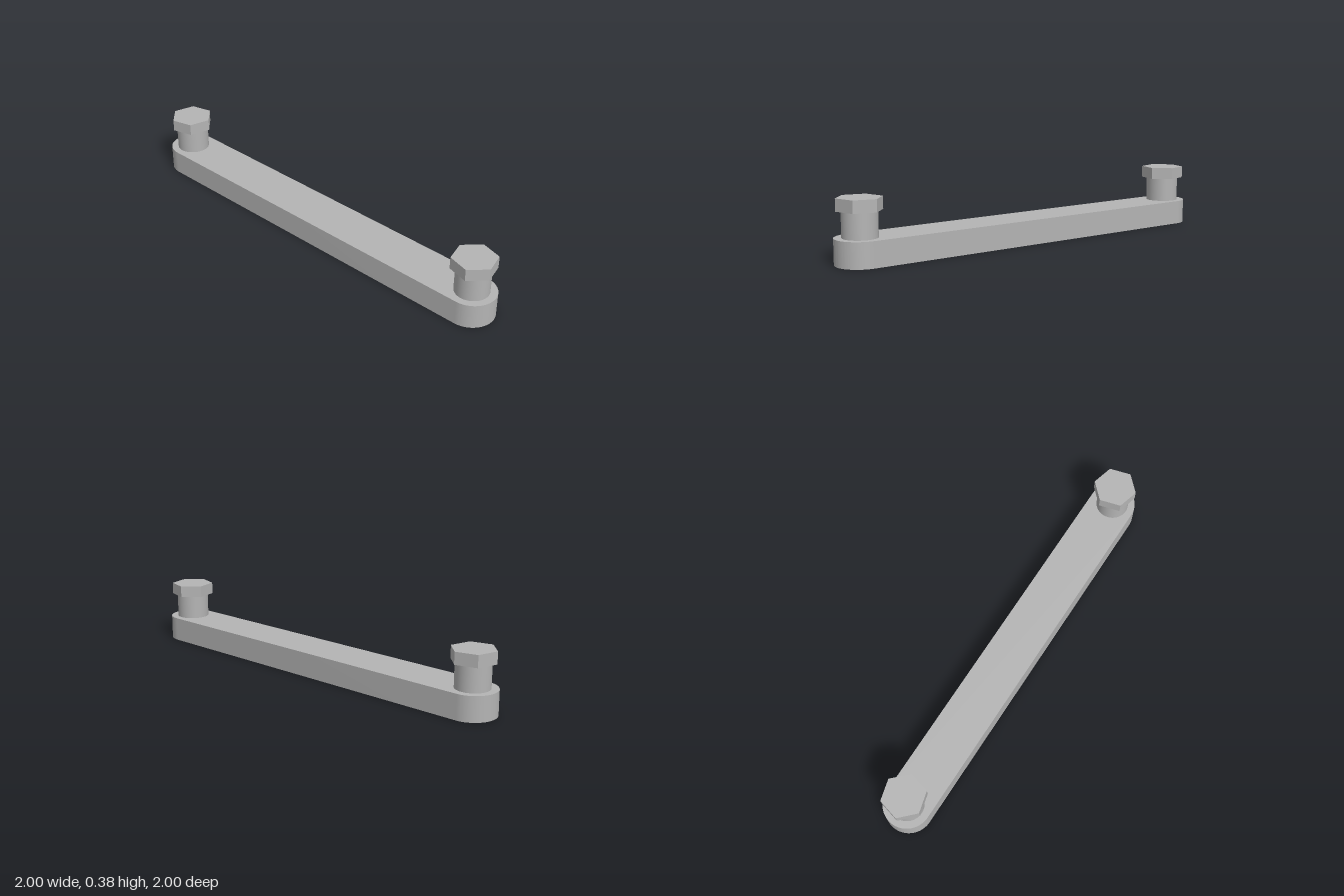
import * as THREE from 'three';
import { toCreasedNormals } from 'three/addons/utils/BufferGeometryUtils.js';

const BAR_HEIGHT = 0.155, BAR_RADIUS = 0.15, OFFSET = 0.85;
const SHANK_RADIUS = 0.105, SHANK_TOP = 0.31;
const HEAD_RADIUS = 0.138, HEAD_TOP = 0.385;

export function createModel() {
  const steel = new THREE.MeshStandardMaterial({ color: 0xb4b4b4 });
  steel.name = 'grey steel';
  const model = new THREE.Group();
  model.name = 'linkPlate';

  // Flat bar with round ends, laid along the diagonal
  const half = OFFSET * Math.SQRT2;
  const outline = new THREE.Shape();
  outline.absarc(half, 0, BAR_RADIUS, -Math.PI / 2, Math.PI / 2, false);
  outline.absarc(-half, 0, BAR_RADIUS, Math.PI / 2, Math.PI * 1.5, false);
  outline.closePath();
  const barGeometry = new THREE.ExtrudeGeometry(outline, {
    depth: BAR_HEIGHT, bevelEnabled: false, curveSegments: 32,
  });
  barGeometry.rotateX(-Math.PI / 2);
  const bar = new THREE.Mesh(toCreasedNormals(barGeometry, Math.PI / 6), steel);
  bar.name = 'bar';
  bar.rotation.y = -Math.PI / 4;
  model.add(bar);

  // Pin: round shank under a hexagonal head
  function addPin(name, position, turn) {
    const pin = new THREE.Group();
    pin.name = name;
    pin.position.set(position, 0, position);

    const shankHeight = SHANK_TOP - BAR_HEIGHT;
    const shank = new THREE.Mesh(
      new THREE.CylinderGeometry(SHANK_RADIUS, SHANK_RADIUS, shankHeight, 48), steel);
    shank.name = 'shank';
    shank.position.y = BAR_HEIGHT + shankHeight / 2;

    const headHeight = HEAD_TOP - SHANK_TOP;
    const headGeometry = toCreasedNormals(
      new THREE.CylinderGeometry(HEAD_RADIUS, HEAD_RADIUS, headHeight, 6), Math.PI / 6);
    const head = new THREE.Mesh(headGeometry, steel);
    head.name = 'hexHead';
    head.position.y = SHANK_TOP + headHeight / 2;
    head.rotation.y = turn;

    pin.add(shank, head);
    model.add(pin);
  }
  addPin('backPin', -OFFSET, 0);
  addPin('frontPin', OFFSET, Math.PI / 6);

  return model;
}
